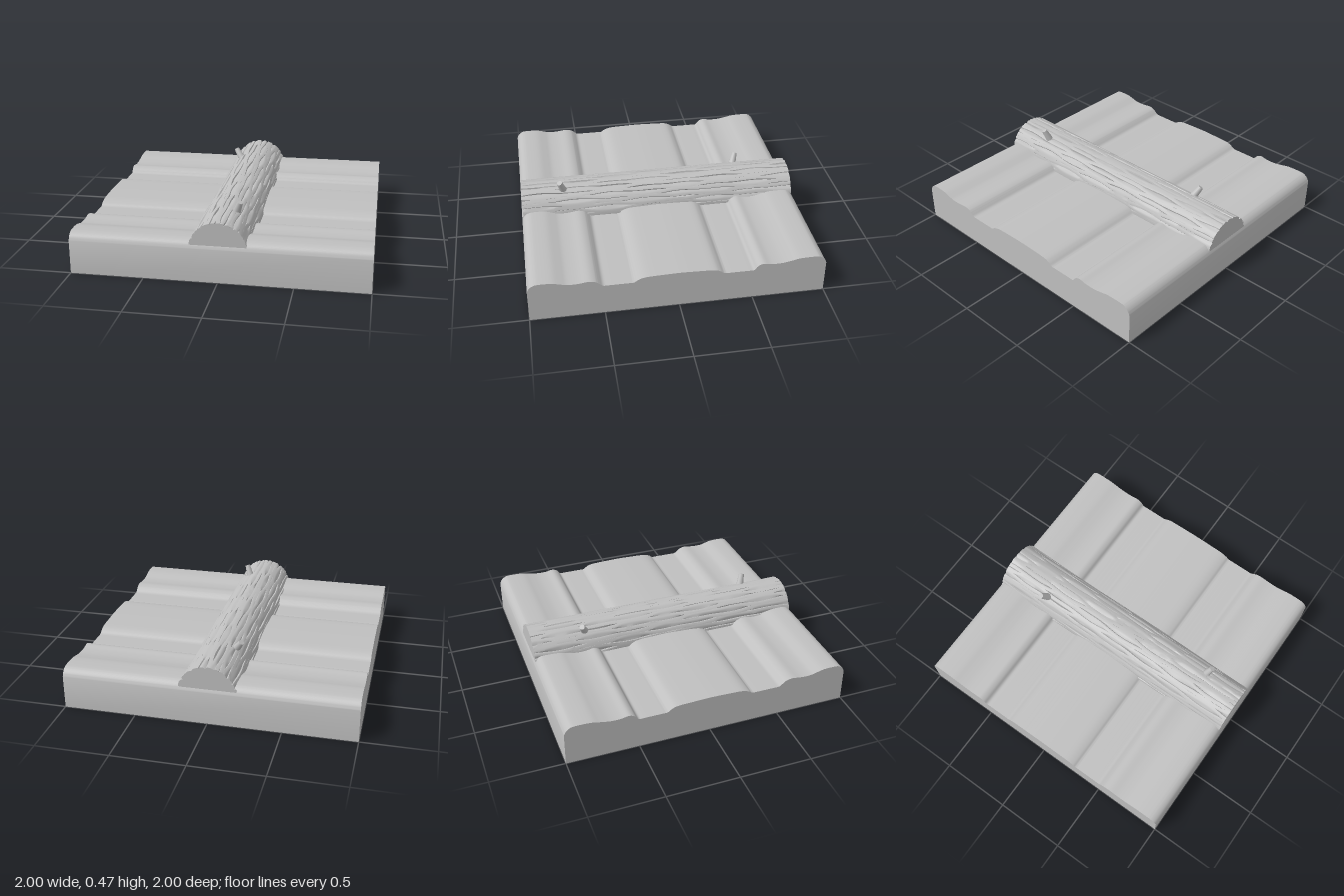
import * as THREE from 'three';
import { toCreasedNormals, mergeVertices } from 'three/addons/utils/BufferGeometryUtils.js';

const stone = new THREE.MeshStandardMaterial({ color: 0xbfbfbf });
stone.name = 'plain grey';

// Ground height from front to back: [z, y]
const PROFILE = [
  [1, 0.23], [0.985, 0.262], [0.957, 0.282], [0.92, 0.288], [0.84, 0.286], [0.785, 0.273],
  [0.74, 0.262], [0.67, 0.262], [0.6, 0.271], [0.555, 0.262], [0.53, 0.244], [0.505, 0.226],
  [0.46, 0.225], [0.34, 0.225], [0.303, 0.226], [0.277, 0.244], [0.223, 0.26], [0.12, 0.265],
  [0, 0.268], [-0.12, 0.265], [-0.23, 0.26], [-0.272, 0.246], [-0.303, 0.226], [-0.34, 0.225],
  [-0.46, 0.225], [-0.502, 0.226], [-0.527, 0.255], [-0.565, 0.271], [-0.62, 0.262], [-0.69, 0.262],
  [-0.757, 0.273], [-0.82, 0.286], [-0.93, 0.288], [-0.965, 0.277], [-0.988, 0.255], [-1, 0.23],
];

// Rippled slab: the profile swept across x
function groundGeometry() {
  const curve = new THREE.SplineCurve(PROFILE.map(([z, y]) => new THREE.Vector2(-z, y)));
  const top = curve.getPoints(140);
  const shape = new THREE.Shape([new THREE.Vector2(1, 0), ...top.reverse(), new THREE.Vector2(-1, 0)]);
  const geo = new THREE.ExtrudeGeometry(shape, { depth: 2, bevelEnabled: false });
  geo.rotateY(Math.PI / 2).translate(-1, 0, 0);
  return toCreasedNormals(geo, 0.6);
}

// Half log: rounded bark strips separated by wandering grooves
const R = 0.2, BASE = 0.215, END = 0.99, STRIPS = 19, SEGS = 90;
const STEPS = [[0, 1], [0.1, 0.25], [0.5, 0], [0.9, 0.25]]; // [place in strip, share of groove depth]

function barkPoint(i, z) {
  const strip = Math.floor(i / STEPS.length);
  const [t, share] = STEPS[i % STEPS.length];
  const wobble = 0.22 * Math.sin(z * 7 + strip * 2.4) + 0.12 * Math.sin(z * 17 + strip * 4.1);
  const inside = strip > 0 && strip < STRIPS ? 1 : 0;
  const a = Math.min(Math.PI, Math.max(0, ((strip + t + wobble * inside) / STRIPS) * Math.PI));
  // groove depth comes and goes along the log
  const wave = Math.sin(z * 9 + strip * 5.3) + 0.6 * Math.sin(z * 21 + strip * 1.7);
  const depth = 0.008 + 0.006 * THREE.MathUtils.smoothstep(wave, -0.5, 0.5);
  const swell = 0.003 * Math.sin(z * 5 + a * 2) * Math.cos(a) ** 2;
  const r = R - depth * share + swell;
  return [r * Math.cos(a), BASE + r * Math.sin(a), z];
}

function logGeometry() {
  const cols = STRIPS * STEPS.length + 1;
  const pos = [], index = [];
  for (let j = 0; j <= SEGS; j++) {
    const z = -END + (2 * END * j) / SEGS;
    for (let i = 0; i < cols; i++) pos.push(...barkPoint(i, z));
  }
  for (let j = 0; j < SEGS; j++) {
    for (let i = 0; i < cols - 1; i++) {
      const a = j * cols + i, b = a + cols;
      index.push(a, a + 1, b, a + 1, b + 1, b);
    }
  }
  // flat sawn ends
  const back = pos.length / 3, front = back + 1, last = SEGS * cols;
  pos.push(0, BASE, -END, 0, BASE, END);
  for (let i = 0; i < cols - 1; i++) {
    index.push(back, i + 1, i, front, last + i, last + i + 1);
  }
  const geo = new THREE.BufferGeometry();
  geo.setAttribute('position', new THREE.Float32BufferAttribute(pos, 3));
  geo.setIndex(index);
  return toCreasedNormals(mergeVertices(geo), 0.7);
}

// Tapered branch stub between two points
function branchStub(name, from, to, rBase, rTip) {
  const a = new THREE.Vector3(...from), b = new THREE.Vector3(...to);
  const dir = b.clone().sub(a);
  const mesh = new THREE.Mesh(new THREE.CylinderGeometry(rTip, rBase, dir.length(), 12), stone);
  mesh.name = name;
  mesh.position.copy(a).add(b).multiplyScalar(0.5);
  mesh.quaternion.setFromUnitVectors(new THREE.Vector3(0, 1, 0), dir.normalize());
  return mesh;
}

export function createModel() {
  const model = new THREE.Group();
  model.name = 'logOverGround';

  const ground = new THREE.Mesh(groundGeometry(), stone);
  ground.name = 'rippledGround';

  const log = new THREE.Mesh(logGeometry(), stone);
  log.name = 'barkLog';

  model.add(
    ground, log,
    branchStub('frontBranchStub', [0.07, 0.37, 0.685], [0.105, 0.465, 0.715], 0.029, 0.019),
    branchStub('backBranchStub', [-0.1, 0.365, -0.6], [-0.15, 0.437, -0.63], 0.029, 0.019),
  );
  return model;
}
